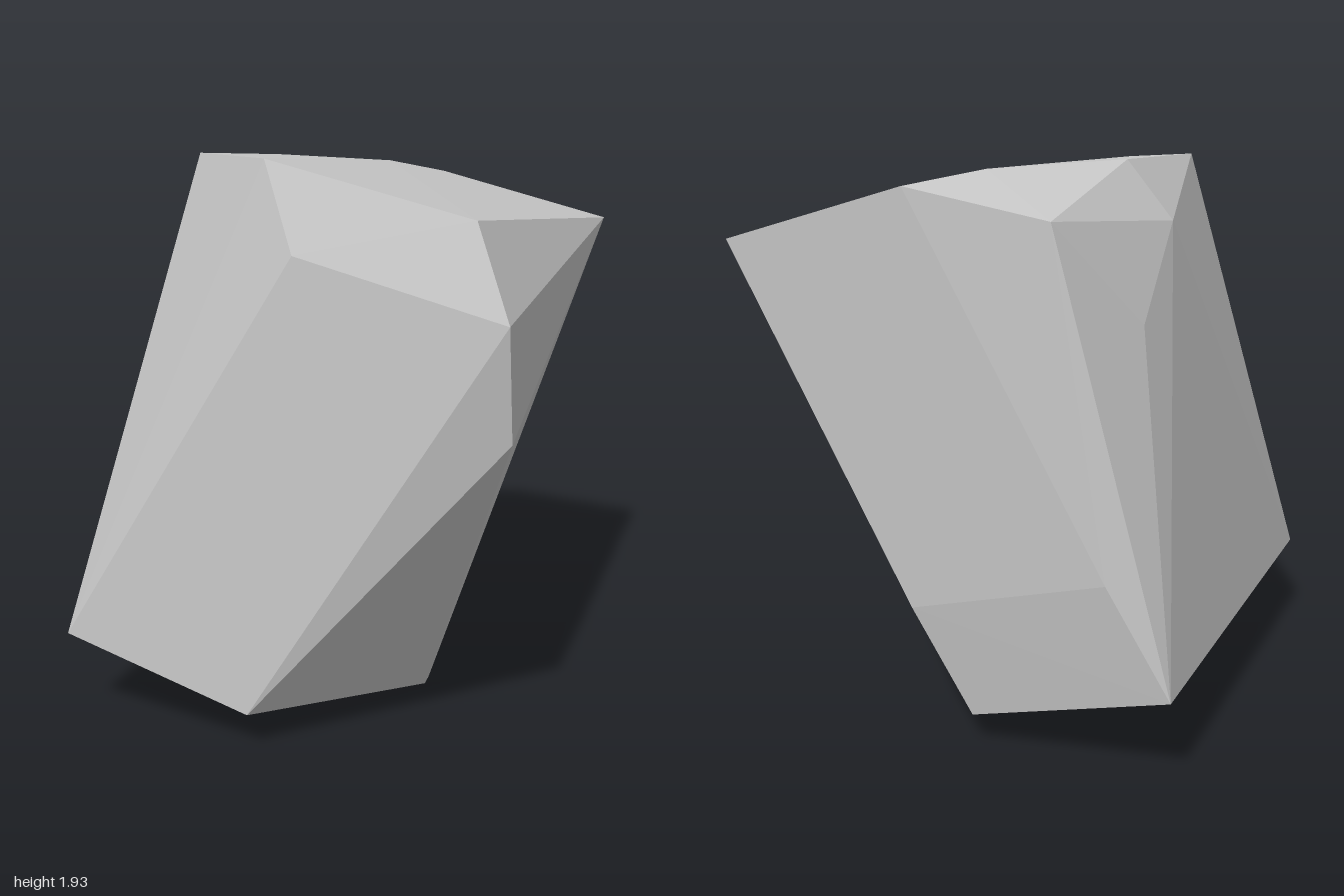
import * as THREE from 'three';
import { ConvexGeometry } from 'three/addons/geometries/ConvexGeometry.js';

// Faceted boulder: a convex hull wrapped around its chipped corners.
export function createModel() {
  const group = new THREE.Group();
  group.name = 'rock';

  const stone = new THREE.MeshStandardMaterial({ color: 0xc5c5c5 });
  stone.name = 'stone grey';

  const corners = [
    // sloping top
    [-0.48, 1.93, 0.40], [-0.17, 1.92, 0.72], [0.52, 1.745, 0.86],
    [0.875, 1.65, -0.77], [0.19, 1.83, -0.91], [0.0, 1.88, -0.65],
    [-0.39, 1.91, -0.33],
    // front face and its chipped edges
    [-0.05, 1.63, 0.86], [0.635, 1.45, 1.0], [0.645, 1.08, 0.93],
    [-0.20, 0.13, 0.93], [-0.875, 0.31, 0.79],
    // back and the worn back corner
    [-0.55, 1.71, -0.34], [-0.30, 1.73, -0.955], [-0.53, 1.40, -0.69],
    [-0.485, 0.64, -1.0], [-0.69, 0.28, -0.985], [0.20, 0.46, -0.86],
    // underside
    [0.325, 0.09, 0.48], [0.305, 0.01, 0.24], [0.30, 0.0, -0.14], [0.0, 0.10, -0.84],
  ].map((p) => new THREE.Vector3(...p));

  const boulder = new THREE.Mesh(new ConvexGeometry(corners), stone);
  boulder.name = 'boulder';
  group.add(boulder);
  return group;
}
